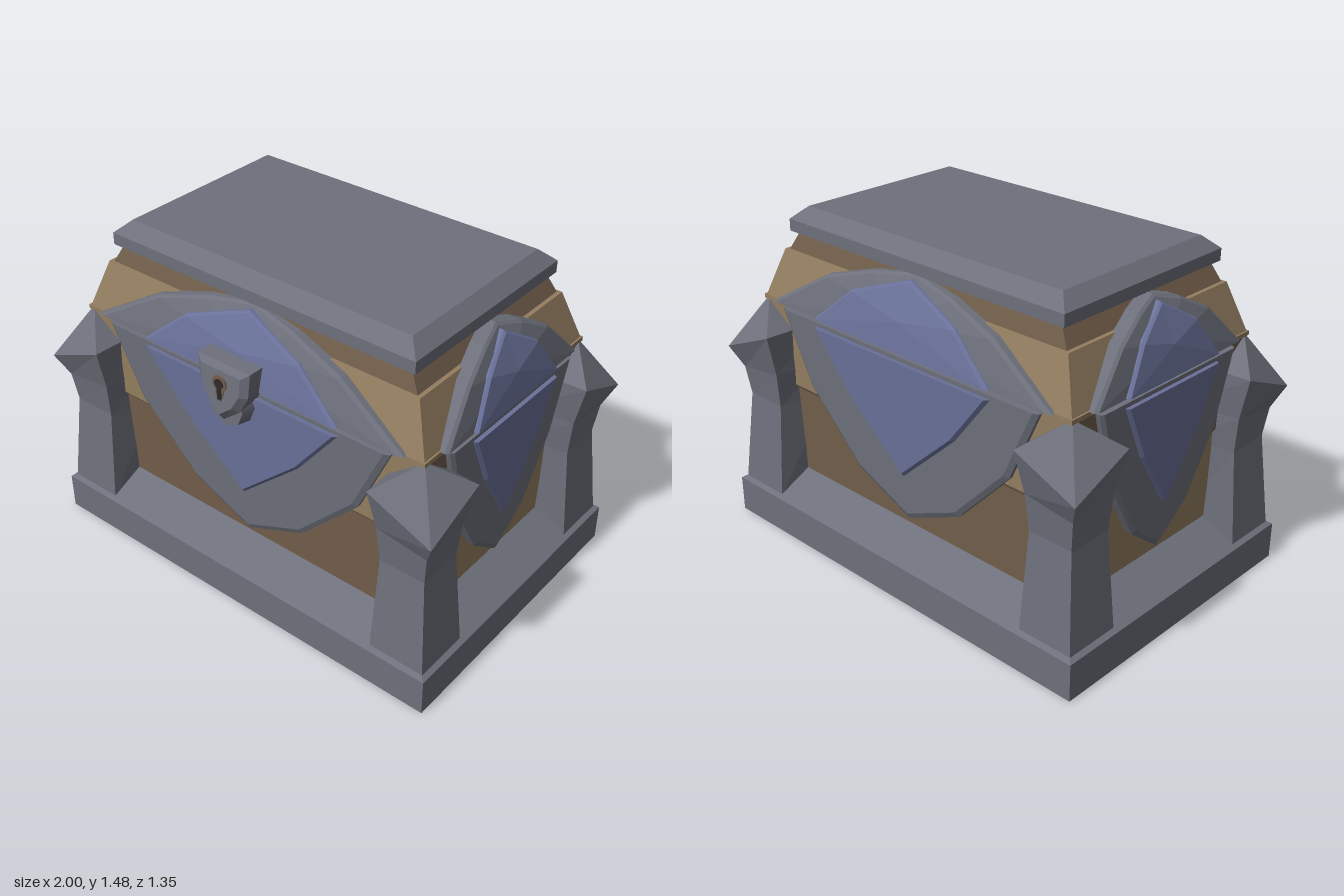
import * as THREE from 'three';

const mat = (name, color) => {
  const m = new THREE.MeshStandardMaterial({ color });
  m.name = name;
  return m;
};

// Flat-faced loft through rings (counter-clockwise seen from the last ring), capped at both ends.
// groupOf(i) picks a material slot for side i.
function loft(rings, groupOf = null, endCentre = null) {
  const pos = [], geo = new THREE.BufferGeometry();
  const n = rings[0].length;
  const tri = (...ps) => ps.forEach(p => pos.push(p.x, p.y, p.z));
  const mid = ring => ring.reduce((s, p) => s.add(p), new THREE.Vector3()).divideScalar(n);
  for (let k = 0; k < rings.length - 1; k++) {
    for (let i = 0; i < n; i++) {
      const j = (i + 1) % n, a = rings[k], b = rings[k + 1];
      if (groupOf) geo.addGroup(pos.length / 3, 6, groupOf(i));
      tri(a[i], a[j], b[j]);
      tri(a[i], b[j], b[i]);
    }
  }
  const capStart = pos.length / 3;
  const first = rings[0], last = rings[rings.length - 1];
  const c0 = mid(first), c1 = endCentre || mid(last);
  for (let i = 0; i < n; i++) {
    const j = (i + 1) % n;
    tri(c0, first[j], first[i]);
    tri(c1, last[i], last[j]);
  }
  if (groupOf) geo.addGroup(capStart, n * 6, 0);
  geo.setAttribute('position', new THREE.Float32BufferAttribute(pos, 3));
  geo.computeVertexNormals();
  return geo;
}

const V = (x, y, z) => new THREE.Vector3(x, y, z);
const rect = (x, z, y) => [V(x, y, z), V(x, y, -z), V(-x, y, -z), V(-x, y, z)];

// Full symmetric outline from one half that ends on the centre line
const mirrorHalf = (half, s) => [
  ...half.map(([x, y]) => [x * s, y]),
  ...half.slice(0, -1).reverse().map(([x, y]) => [-x * s, y]),
];

// Linear interpolation through [y, depth] pairs
function sample(table, y) {
  for (let i = 1; i < table.length; i++) {
    const [y0, d0] = table[i - 1], [y1, d1] = table[i];
    if (y <= y1 || i === table.length - 1) return d0 + (d1 - d0) * (y - y0) / (y1 - y0);
  }
}

export function createModel() {
  const root = new THREE.Group();
  root.name = 'chest';
  const chest = new THREE.Group();
  chest.name = 'chestBody';
  chest.position.z = -0.007;
  root.add(chest);

  const stone = mat('grey metal', 0x6d707b);
  const blue = mat('blue enamel', 0x6a7199);
  const light = mat('light wood', 0x947e61);
  const dark = mat('dark wood', 0x725e4b);
  const black = mat('keyhole dark', 0x2c2a2a);

  const add = (parent, name, geo, material) => {
    const m = new THREE.Mesh(geo, material);
    m.name = name;
    parent.add(m);
    return m;
  };

  // Plinth and top slab
  add(chest, 'base', loft([rect(1, 0.672, 0), rect(1, 0.672, 0.165), rect(0.83, 0.505, 0.262)]), stone);
  add(chest, 'topSlab', loft([rect(0.76, 0.47, 1.368), rect(0.76, 0.47, 1.42), rect(0.7, 0.41, 1.475)]), stone);

  // Wooden walls: the tone swaps between the ends and the long sides
  const odd = i => i % 2;
  add(chest, 'lowerPlanks', loft([rect(0.83, 0.505, 0.25), rect(0.84, 0.515, 0.67)], odd), [light, dark]);
  add(chest, 'upperPlanks',
    loft([rect(0.835, 0.51, 0.657), rect(0.855, 0.53, 0.685), rect(0.868, 0.543, 1.06)], odd), [dark, light]);
  add(chest, 'seam', loft([rect(0.872, 0.547, 1.058), rect(0.872, 0.547, 1.077)]), light);
  add(chest, 'lidLowerPlanks', loft([rect(0.865, 0.54, 1.075), rect(0.79, 0.48, 1.285)]), light);
  add(chest, 'lidUpperPlanks', loft([rect(0.775, 0.47, 1.28), rect(0.72, 0.44, 1.38)]), dark);

  // Corner posts with faceted heads: [outer inset, outer y, arm length, arm y]
  const levels = [[0.02, 0.165, 0.275, 0.165], [0.06, 0.6, 0.265, 0.6],
    [0.045, 0.73, 0.275, 0.76], [0, 0.83, 0.29, 0.95]];
  for (const sx of [1, -1]) {
    for (const sz of [1, -1]) {
      const rings = levels.map(([inset, y, arm, armY]) => {
        const x = 1 - inset, z = 0.672 - inset;
        const ring = [V(x, y, z), V(x, armY, 0.672 - arm), V(0.7, armY, 0.372), V(1 - arm, armY, z)];
        ring.forEach(p => { p.x *= sx; p.z *= sz; });
        return sx * sz < 0 ? ring.reverse() : ring;
      });
      add(chest, 'cornerPost', loft(rings, null, V(0.86 * sx, 1.07, 0.53 * sz)), stone);
    }
  }

  // Shield plates, split at the lid seam
  const halves = [
    { name: 'lower', s: -1, seam: 1.055, centre: 0.85,
      depth: [[0.31, 0.55], [1.06, 0.57]],
      outer: [[0.73, 1.055], [0.577, 0.73], [0.294, 0.44], [0, 0.31]],
      inner: [[0.497, 1.037], [0.3, 0.79], [0, 0.52]] },
    { name: 'lid', s: 1, seam: 1.073, centre: 1.2,
      depth: [[1.07, 0.57], [1.2, 0.55], [1.32, 0.51], [1.37, 0.465]],
      outer: [[0.79, 1.073], [0.47, 1.26], [0.22, 1.335], [0, 1.37]],
      inner: [[0.497, 1.077], [0.29, 1.25], [0, 1.35]] },
  ];
  const plate = (h, half, width, push, back, raise, shrink) => {
    const outline = mirrorHalf(half, h.s);
    const ring = (k, dz) => outline.map(([x, y]) =>
      V(x * k * width, h.seam + (y - h.seam) * k, push + sample(h.depth, y) + dz));
    return loft([ring(1, back), ring(1, raise - 0.012), ring(shrink, raise)], null,
      V(0, h.centre, push + sample(h.depth, h.centre) + raise));
  };
  for (let q = 0; q < 4; q++) {
    const shield = new THREE.Group();
    shield.name = ['frontShield', 'leftShield', 'backShield', 'rightShield'][q];
    shield.rotation.y = q * Math.PI / 2;
    const width = q % 2 ? 0.57 : 1, push = q % 2 ? 0.33 : 0;
    for (const h of halves) {
      add(shield, h.name + 'ShieldFrame', plate(h, h.outer, width, push, -0.07, 0, 0.965), stone);
      add(shield, h.name + 'ShieldInlay', plate(h, h.inner, width, push, -0.03, 0.018, 0.97), blue);
    }
    chest.add(shield);
  }

  // Lock: round hasp behind a bevelled pointed plate
  const lock = new THREE.Group();
  lock.name = 'lock';
  chest.add(lock);
  const lockOutline = mirrorHalf([[0.133, 1.187], [0.125, 1.08], [0.08, 1.0], [0, 0.936]], -1);
  const lockRing = (k, z, lean) => lockOutline.map(([x, y]) =>
    V(x * k, 1.09 + (y - 1.09) * k, z + lean * (1.187 - y)));
  add(lock, 'lockPlate', loft([lockRing(1, 0.55, 0), lockRing(1, 0.64, 0.06), lockRing(0.76, 0.66, 0.08)]), stone);
  const hasp = add(lock, 'hasp', new THREE.CylinderGeometry(0.09, 0.11, 0.11, 8), stone);
  hasp.geometry.rotateX(Math.PI / 2);
  hasp.position.set(0, 0.995, 0.59);

  // Keyhole: a rim with a smaller dark opening
  const keyhole = (name, r, w, z, material) => {
    const disc = add(lock, name + 'Round', new THREE.CylinderGeometry(r, r, 0.008, 10), material);
    disc.geometry.rotateX(Math.PI / 2);
    disc.position.set(0, 1.11, z);
    add(lock, name + 'Slot', new THREE.BoxGeometry(w, 0.07, 0.008), material).position.set(0, 1.073, z);
  };
  keyhole('keyholeRim', 0.036, 0.04, 0.668, dark);
  keyhole('keyhole', 0.022, 0.02, 0.672, black);

  return root;
}
